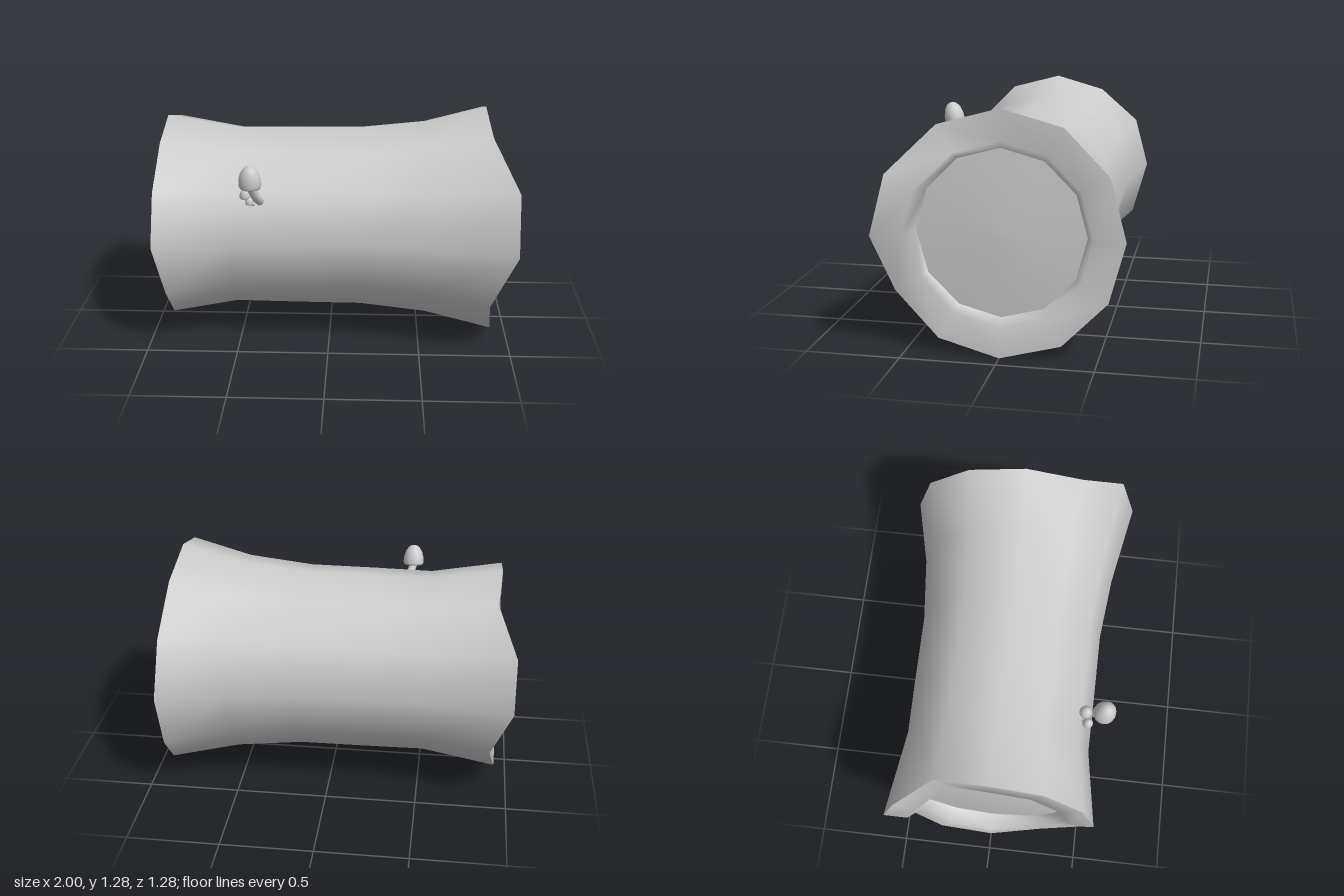
import * as THREE from 'three';

const SIDES = 12;
const CENTRE_Y = 0.64;

// Jagged x of each end, going round from the top towards the front
const leftRim = [-0.91, -0.91, -0.925, -0.935, -0.885, -0.88, -0.925, -0.925, -0.89, -1, -1, -0.89];
const rightRim = [0.855, 0.87, 1, 1, 0.87, 0.9, 0.91, 0.91, 0.89, 0.9, 0.88, 0.86];

// Skin through rings of [x or list of x, radius], ordered so that faces look outward
function skin(rings) {
  const positions = [];
  const index = [];
  rings.forEach(([x, r], i) => {
    for (let k = 0; k < SIDES; k++) {
      const a = (k / SIDES) * Math.PI * 2;
      positions.push(Array.isArray(x) ? x[k] : x, CENTRE_Y + r * Math.cos(a), r * Math.sin(a));
      if (i === rings.length - 1) continue;
      const p = i * SIDES + k;
      const q = i * SIDES + ((k + 1) % SIDES);
      index.push(p, q, p + SIDES, q, q + SIDES, p + SIDES);
    }
  });
  const geometry = new THREE.BufferGeometry();
  geometry.setAttribute('position', new THREE.Float32BufferAttribute(positions, 3));
  geometry.setIndex(index);
  geometry.computeVertexNormals();
  return geometry;
}

export function createModel() {
  const model = new THREE.Group();
  model.name = 'log';
  const grey = new THREE.MeshStandardMaterial({ color: 0xcccccc });
  grey.name = 'plain grey';

  const add = (name, geometry, parent = model) => {
    const mesh = new THREE.Mesh(geometry, grey);
    mesh.name = name;
    parent.add(mesh);
    return mesh;
  };

  // Waisted trunk
  add('bark', skin([
    [leftRim, 0.572], [-0.52, 0.506], [-0.2, 0.51], [0.17, 0.512], [0.53, 0.55], [rightRim, 0.638],
  ]));

  // Broken rims stepping in to the cut wood
  add('rightEndRim', skin([[rightRim, 0.638], [rightRim, 0.475], [0.845, 0.44]]));
  add('leftEndRim', skin([[-0.84, 0.41], [leftRim, 0.44], [leftRim, 0.572]]));

  // Slightly domed cut wood
  add('rightCutWood', skin([[0.845, 0.44], [0.86, 0.22], [0.865, 0.0]]));
  add('leftCutWood', skin([[-0.86, 0.0], [-0.855, 0.2], [-0.84, 0.41]]));

  // Mushroom: bell cap of the given radius and height on a curved stem
  function mushroom(name, root, bend, top, radius, height, stemRadius, tilt) {
    const group = new THREE.Group();
    group.name = name;
    const path = new THREE.CatmullRomCurve3([root, bend, top].map((p) => new THREE.Vector3(...p)));
    add('stem', new THREE.TubeGeometry(path, 8, stemRadius, 10), group);
    const profile = [
      [0, 0.08], [0.75, 0.04], [0.94, 0], [1, 0.1], [0.97, 0.35], [0.8, 0.68], [0.5, 0.9], [0.22, 0.98], [0, 1],
    ].map(([r, y]) => new THREE.Vector2(r * radius, y * height));
    const cap = add('cap', new THREE.LatheGeometry(profile, 16), group);
    cap.position.set(...top);
    cap.rotation.x = tilt;
    model.add(group);
  }

  mushroom('largeMushroom', [-0.36, 0.87, 0.45], [-0.375, 0.91, 0.5], [-0.4, 0.99, 0.552], 0.06, 0.115, 0.023, 0.2);
  mushroom('middleMushroom', [-0.375, 0.88, 0.44], [-0.38, 0.92, 0.45], [-0.39, 0.945, 0.458], 0.035, 0.055, 0.012, 0.2);
  mushroom('smallMushroom', [-0.4, 0.87, 0.44], [-0.425, 0.885, 0.465], [-0.437, 0.9, 0.475], 0.028, 0.048, 0.011, 0.2);
  mushroom('tinyMushroom', [-0.39, 0.85, 0.44], [-0.405, 0.86, 0.465], [-0.415, 0.867, 0.48], 0.02, 0.034, 0.009, 0.2);

  return model;
}
